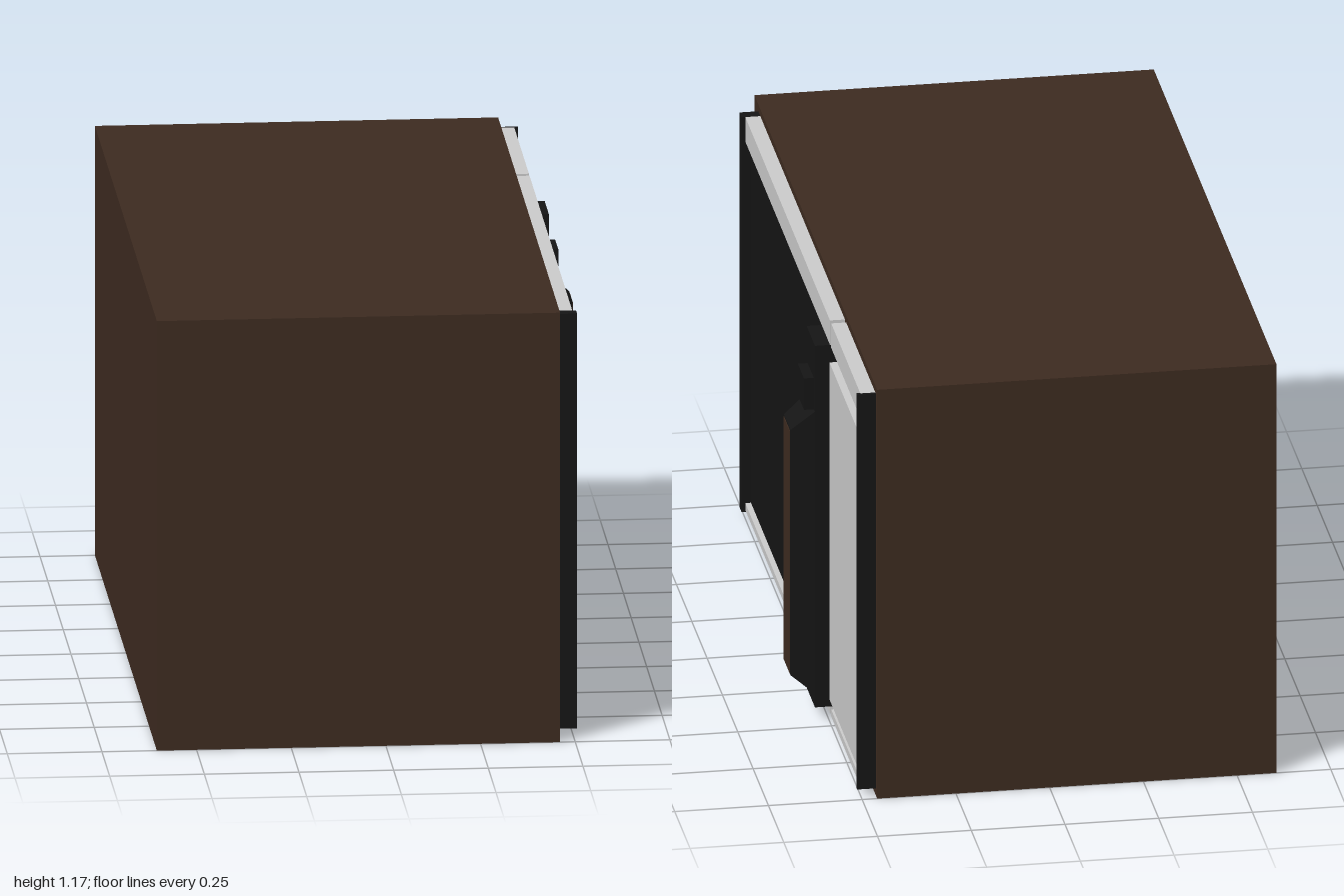
import * as THREE from 'three';

const material = (color) => new THREE.MeshStandardMaterial({ color, flatShading: true });

export function createModel() {
  const group = new THREE.Group();
  const brown = material(0x3d2b20);
  const black = material(0x151515);
  const grey = material(0xcccccc);

  // Box given by its lower and upper limits on each axis
  function block(name, mat, [x0, x1], [y0, y1], [z0, z1], parent = group) {
    const mesh = new THREE.Mesh(new THREE.BoxGeometry(x1 - x0, y1 - y0, z1 - z0), mat);
    mesh.position.set((x0 + x1) / 2, (y0 + y1) / 2, (z0 + z1) / 2);
    mesh.name = name;
    parent.add(mesh);
    return mesh;
  }

  // Oven body; the door side faces +x
  block('body', brown, [-0.605, 0.46], [0, 1.17], [-1, 1]);

  // Dark door glass and control panel backing
  block('doorGlass', black, [0.455, 0.485], [0.045, 1.08], [-0.475, 0.905]);
  block('panelBacking', black, [0.455, 0.485], [0.045, 1.08], [-0.97, -0.495]);
  block('controlPanel', grey, [0.48, 0.507], [0.08, 1.045], [-0.945, -0.51]);

  // Trim strips above and below both sections
  for (const [section, z] of [['door', [-0.475, 0.905]], ['panel', [-0.97, -0.495]]]) {
    block(section + 'TopTrim', grey, [0.455, 0.5], [1.08, 1.15], z);
    block(section + 'BottomTrim', grey, [0.455, 0.5], [0.025, 0.045], z);
  }

  // Upright end caps
  block('doorEndCap', black, [0.455, 0.51], [0.02, 1.15], [0.905, 0.938]);
  block('panelEndCap', black, [0.455, 0.51], [0.02, 1.15], [-0.978, -0.967]);

  // Door handle: base plate, button, tapered grip and front insert
  const handle = new THREE.Group();
  handle.name = 'handle';
  group.add(handle);
  block('handleBase', black, [0.48, 0.54], [0.045, 1.08], [-0.475, -0.34], handle);
  block('handleButton', black, [0.535, 0.566], [0.89, 0.98], [-0.455, -0.355], handle);

  const grip = block('handleGrip', black, [0.54, 0.603], [0.083, 0.89], [-0.472, -0.342], handle);
  const p = grip.geometry.attributes.position;
  for (let i = 0; i < p.count; i++) {
    if (p.getX(i) > 0) {
      p.setY(i, p.getY(i) * 0.87);
      p.setZ(i, p.getZ(i) * 0.82);
    }
  }
  grip.geometry.computeVertexNormals();
  block('handleInsert', brown, [0.59, 0.605], [0.14, 0.833], [-0.455, -0.358], handle);

  return group;
}
